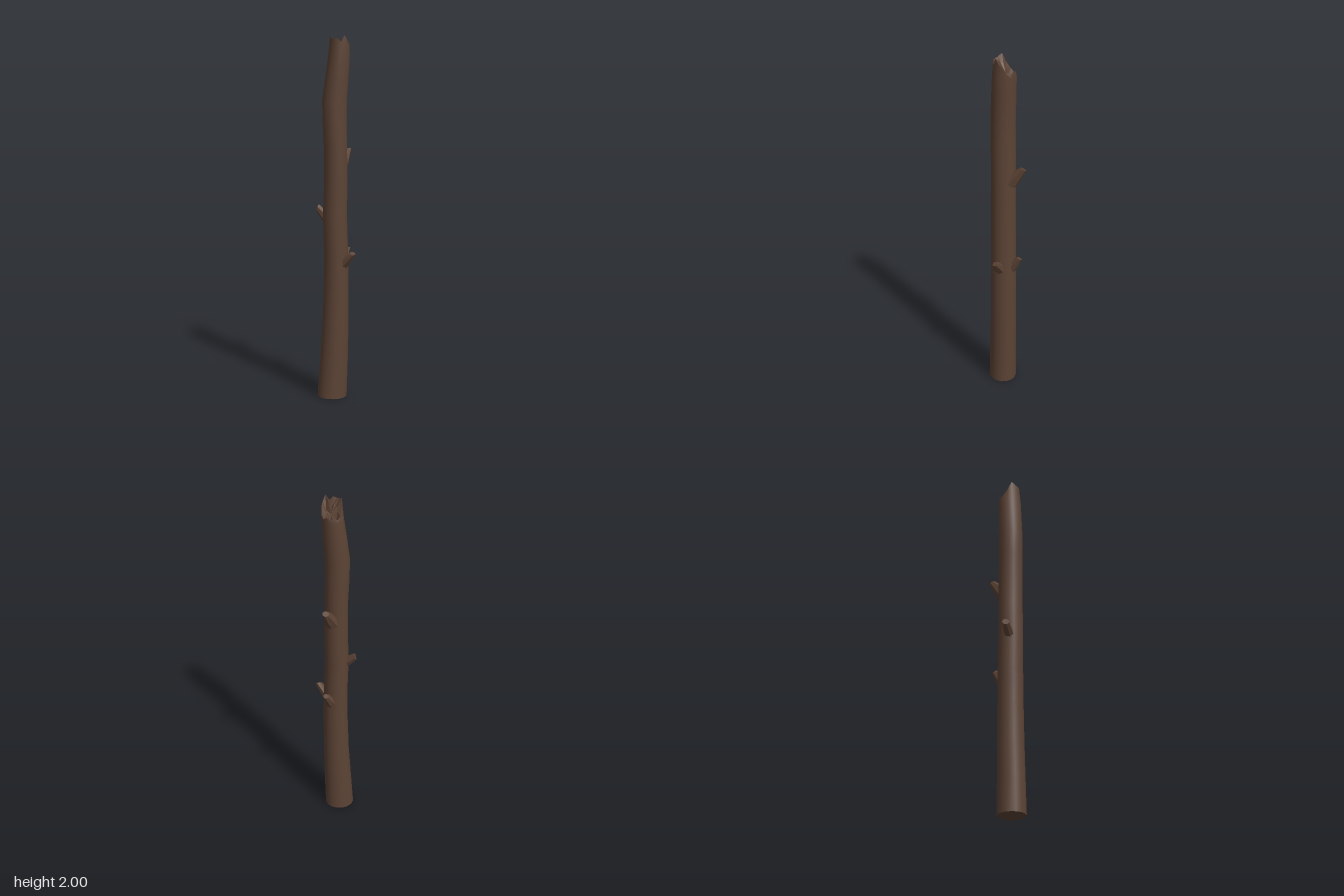
import * as THREE from 'three';

const SIDES = 16;

// Skin over a list of rings; each ring is an array of [x, y, z] corners
function loft(rings) {
  const n = rings[0].length, index = [];
  for (let r = 0; r < rings.length - 1; r++) {
    for (let i = 0; i < n; i++) {
      const a = r * n + i, b = r * n + (i + 1) % n;
      index.push(a, a + n, b, b, a + n, b + n);
    }
  }
  const g = new THREE.BufferGeometry();
  g.setAttribute('position', new THREE.Float32BufferAttribute(rings.flat(2), 3));
  g.setIndex(index);
  return g;
}

function smooth(g) {
  g.computeVertexNormals();
  return g;
}

function faceted(g) {
  return smooth(g.toNonIndexed());
}

// Horizontal ring; height may be a number or a list with one value per corner
function ring(y, cx, cz, rx, rz) {
  return Array.from({ length: SIDES }, (_, i) => {
    const a = (i / SIDES) * Math.PI * 2;
    return [cx + rx * Math.cos(a), Array.isArray(y) ? y[i] : y, cz + rz * Math.sin(a)];
  });
}

export function createModel() {
  const model = new THREE.Group();
  const bark = new THREE.MeshStandardMaterial({ color: 0x5c4335 });
  bark.name = 'bark brown';

  const add = (name, geometry) => {
    const mesh = new THREE.Mesh(geometry, bark);
    mesh.name = name;
    model.add(mesh);
  };

  // Gently bent trunk: y, centre x, centre z, radius x, radius z
  const sections = [
    [0, -0.013, 0.008, 0.082, 0.077],
    [0.2, -0.003, 0.008, 0.078, 0.075],
    [0.4, 0.006, 0.008, 0.073, 0.073],
    [0.62, 0.01, 0.008, 0.069, 0.071],
    [0.82, 0.01, 0.008, 0.066, 0.07],
    [1.03, 0.003, 0.008, 0.066, 0.069],
    [1.2, 0.008, 0.008, 0.064, 0.068],
    [1.4, 0.006, 0.008, 0.063, 0.068],
    [1.52, 0.002, 0.008, 0.065, 0.067],
    [1.65, 0.001, 0.008, 0.067, 0.067],
    [1.78, 0.014, 0.008, 0.063, 0.066],
    [1.89, 0.025, 0.008, 0.058, 0.065],
  ];
  const rim = [1.915, 1.95, 1.97, 2.0, 1.965, 1.985, 1.98, 1.985, 2.0, 1.95, 1.92, 1.905, 1.915, 1.905, 1.92, 1.9];
  const body = sections.map((s) => ring(...s));
  const rimRing = ring(rim, 0.03, 0.007, 0.052, 0.058);
  add('trunk', smooth(loft([...body, rimRing])));
  add('trunkBase', faceted(loft([ring(0, -0.013, 0.008, 0, 0), body[0]])));

  // Splintered break, sinking toward the middle
  const inner = rim.map((y, i) => y - 0.02 - 0.012 * (i % 3));
  add('brokenTop', faceted(loft([
    rimRing,
    ring(inner, 0.032, 0.007, 0.03, 0.034),
    ring(1.915, 0.035, 0.004, 0, 0),
  ])));

  // Tapered, snapped-off twigs: root, tip, root radius, tip radius
  const stubs = [
    ['frontStub', [0.04, 0.76, 0.035], [0.093, 0.825, 0.08], 0.037, 0.015],
    ['backStub', [0.035, 0.755, -0.025], [0.08, 0.83, -0.062], 0.037, 0.015],
    ['upperStub', [0.035, 1.29, -0.025], [0.083, 1.378, -0.08], 0.044, 0.017],
    ['sideStub', [-0.035, 1.005, -0.01], [-0.087, 1.06, -0.046], 0.03, 0.019],
  ];
  for (const [name, root, tip, r0, r1] of stubs) {
    const from = new THREE.Vector3(...root), to = new THREE.Vector3(...tip);
    const dir = to.clone().sub(from);
    const g = new THREE.CylinderGeometry(r1, r0, dir.length(), 7, 1);
    // Slant the snapped end so it rises on one side
    const p = g.attributes.position;
    for (let i = 0; i < p.count; i++) {
      if (p.getY(i) > 0) p.setY(i, p.getY(i) + p.getX(i) * 0.5);
    }
    g.applyQuaternion(new THREE.Quaternion().setFromUnitVectors(
      new THREE.Vector3(0, 1, 0), dir.clone().normalize()));
    g.translate(...from.add(to).multiplyScalar(0.5).toArray());
    add(name, faceted(g));
  }

  return model;
}
